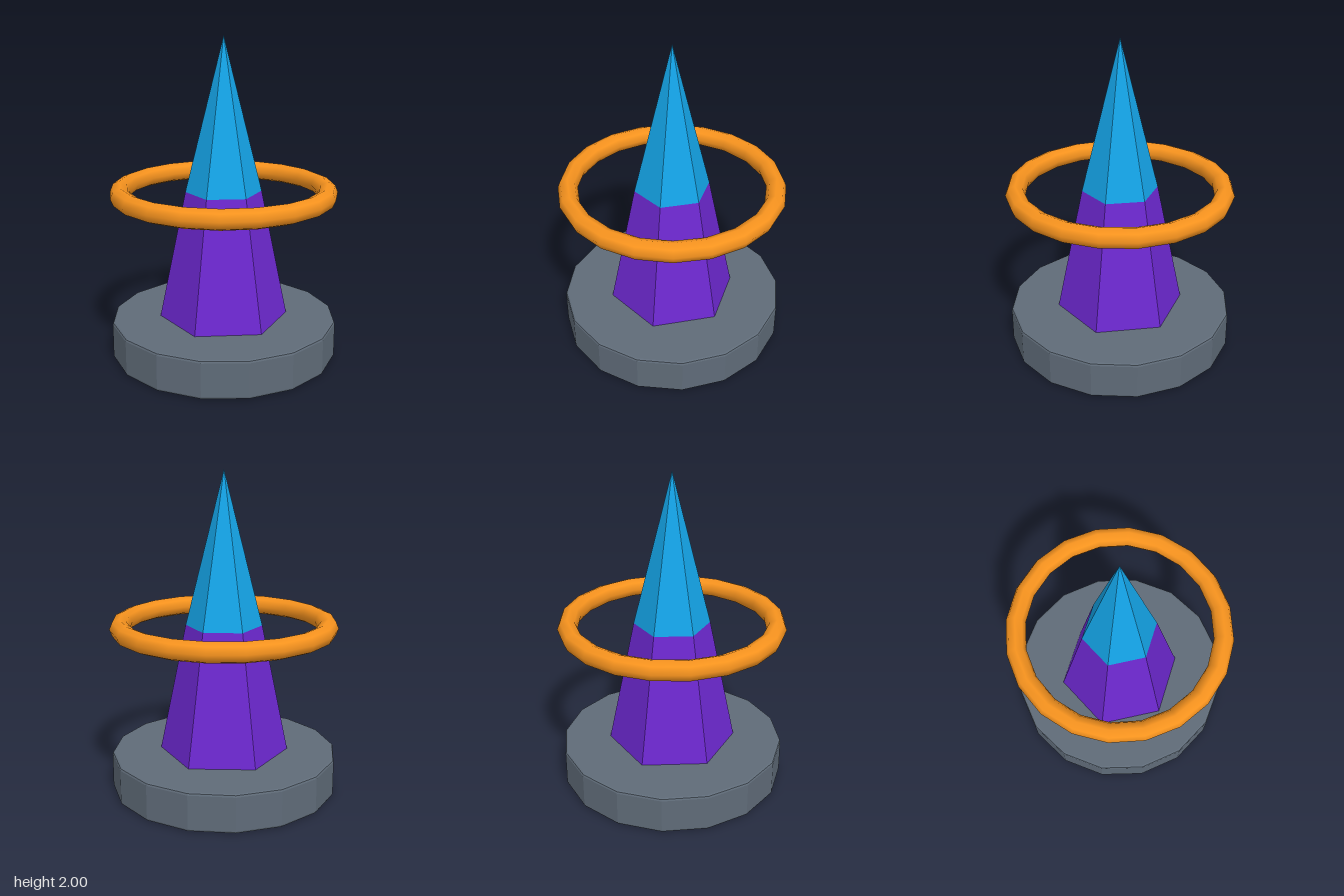
import * as THREE from 'three';

function part(name, geometry, color, y, flatShading = true) {
  const mesh = new THREE.Mesh(geometry, new THREE.MeshStandardMaterial({ color, flatShading }));
  mesh.name = name;
  mesh.position.y = y;
  return mesh;
}

export function createModel() {
  const model = new THREE.Group();
  model.name = 'ringedSpire';

  // Sixteen-sided plinth with a small bevel on both rims
  const R = 0.71, H = 0.24, b = 0.015;
  const profile = [[0, 0], [R - b, 0], [R - b * 0.3, b * 0.3], [R, b],
    [R, H - b], [R - b * 0.3, H - b * 0.3], [R - b, H], [0, H]]
    .map(([x, y]) => new THREE.Vector2(x, y));
  model.add(part('base', new THREE.LatheGeometry(profile, 16), 0x5f6b78, 0));

  // Hexagonal tapered body, then the pointed tip
  const joint = 1.05;
  model.add(part('body', new THREE.CylinderGeometry(0.237, 0.404, joint - H, 6), 0x6d28d0, (joint + H) / 2));
  model.add(part('tip', new THREE.ConeGeometry(0.237, 2 - joint, 6), 0x14a5e9, (2 + joint) / 2));

  // Floating ring around the joint
  const ring = new THREE.TorusGeometry(0.643, 0.062, 8, 20).rotateX(-Math.PI / 2);
  model.add(part('ring', ring, 0xf7931e, joint, false));

  return model;
}
